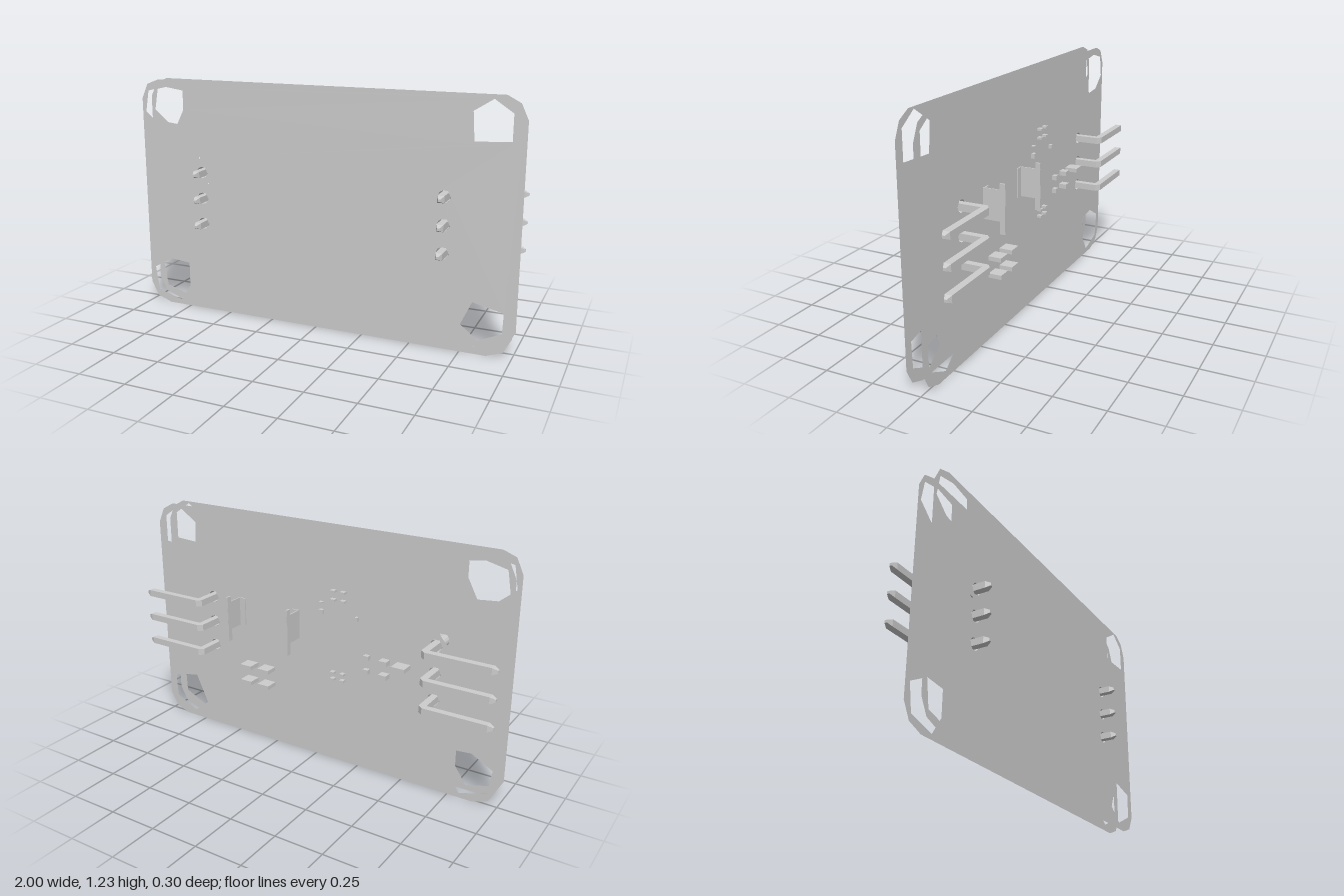
import * as THREE from 'three';

const grey = new THREE.MeshStandardMaterial({ color: 0xcccccc, flatShading: true, side: THREE.DoubleSide });
const FRONT = 0.067, BACK = -0.016;
const PIN_X = 0.65, PIN_YS = [0.757, 0.62, 0.483], PIN_W = 0.034;

const points = (list) => list.map(([x, y]) => new THREE.Vector2(x, y));

function add(parent, name, geometry, x = 0, y = 0, z = 0) {
  const mesh = new THREE.Mesh(geometry, grey);
  mesh.name = name;
  mesh.position.set(x, y, z);
  parent.add(mesh);
  return mesh;
}

// Board outline with chamfered corners, mounting holes and pin holes
function boardShape() {
  const shape = new THREE.Shape(points([
    [-0.88, 0.005], [0.88, 0.005], [0.96, 0.035], [1, 0.11],
    [1, 1.12], [0.965, 1.195], [0.9, 1.23],
    [-0.9, 1.23], [-0.965, 1.205], [-1, 1.13],
    [-1, 0.11], [-0.96, 0.035],
  ]));
  const holes = [
    [[-0.96, 1.17], [-0.86, 1.195], [-0.75, 1.18], [-0.75, 1.08], [-0.8, 0.985], [-0.9, 0.995], [-0.98, 1.06]],
    [[0.75, 1.15], [0.86, 1.22], [0.95, 1.16], [0.95, 1.02], [0.76, 1.01]],
    [[-0.97, 0.2], [-0.86, 0.26], [-0.75, 0.25], [-0.75, 0.12], [-0.81, 0.03], [-0.95, 0.07]],
    [[0.73, 0.11], [0.8, 0.265], [0.955, 0.23], [0.95, 0.1], [0.82, 0.04]],
    [[-0.72, 0.83], [-0.66, 0.84], [-0.67, 0.81], [-0.71, 0.765]],
    [[-0.70, 0.705], [-0.61, 0.705], [-0.61, 0.68], [-0.65, 0.67]],
  ];
  for (const s of [-1, 1]) {
    for (const y of PIN_YS) {
      holes.push(Array.from({ length: 6 }, (_, i) => {
        const a = (i * Math.PI) / 3;
        return [s * PIN_X + 0.034 * Math.cos(a), y + 0.034 * Math.sin(a)];
      }));
    }
  }
  for (const h of holes) shape.holes.push(new THREE.Path(points(h)));
  return shape;
}

// Right-angle header pin with tapered ends and its plated barrel
function headerPin(side, y) {
  const pin = new THREE.Group();
  pin.name = 'headerPin';
  const h = PIN_W / 2;
  const outline = [
    [PIN_X - h, 0.122], [PIN_X + h, 0.122], [PIN_X + h, -0.121],
    [0.975, -0.121], [0.975, -0.155], [PIN_X + h - 0.01, -0.155], [PIN_X - h, -0.135],
  ].map(([x, z]) => [x * side, z]);
  const body = new THREE.ExtrudeGeometry(new THREE.Shape(points(outline)), { depth: PIN_W, bevelEnabled: false });
  body.rotateX(Math.PI / 2);
  add(pin, 'pinBody', body, 0, h, 0);

  const taper = () => new THREE.CylinderGeometry(0.009, PIN_W * Math.SQRT1_2, 0.025, 4).rotateY(Math.PI / 4);
  add(pin, 'solderTip', taper().rotateX(Math.PI / 2), side * PIN_X, 0, 0.1345);
  add(pin, 'outerTip', taper().rotateZ(-side * Math.PI / 2), side * 0.9875, 0, -0.138);

  const barrel = new THREE.CylinderGeometry(0.03, 0.03, FRONT - BACK, 16, 1, true).rotateX(Math.PI / 2);
  add(pin, 'barrel', barrel, side * PIN_X, 0, (FRONT + BACK) / 2);
  pin.position.y = y;
  return pin;
}

export function createModel() {
  const model = new THREE.Group();
  model.name = 'circuitBoard';

  // Two open sheets form the board faces
  const shape = boardShape();
  add(model, 'frontSheet', new THREE.ShapeGeometry(shape), 0, 0, FRONT);
  add(model, 'backSheet', new THREE.ShapeGeometry(shape).rotateY(0), 0, 0, BACK);

  for (const side of [-1, 1]) {
    for (const y of PIN_YS) model.add(headerPin(side, y));
  }

  // Small plated through hole
  const via = new THREE.CylinderGeometry(0.007, 0.007, FRONT - BACK, 10, 1, true).rotateX(Math.PI / 2);
  add(model, 'via', via, -0.055, 0.566, (FRONT + BACK) / 2);

  // Long copper trace along the lower back
  const trace = new THREE.Shape(points([
    [0.69, 0.5], [0.69, 0.4], [0.61, 0.22], [-0.45, 0.18], [-0.57, 0.3],
    [-0.27, 0.31], [-0.25, 0.28], [-0.49, 0.27], [-0.43, 0.24], [0.58, 0.28], [0.65, 0.42], [0.65, 0.5],
  ]));
  add(model, 'copperTrace', new THREE.ShapeGeometry(trace), 0, 0, BACK - 0.002);

  // Upright connector side plates, each with a wider rim and a small foot
  for (const [x, inward] of [[0.465, -1], [0.098, 1]]) {
    const plate = new THREE.Group();
    plate.name = 'connectorPlate';
    add(plate, 'web', new THREE.BoxGeometry(0.005, 0.15, 0.113), 0, 0.715, -0.0785);
    add(plate, 'rim', new THREE.BoxGeometry(0.009, 0.24, 0.026), 0, 0.7, -0.121);
    add(plate, 'foot', new THREE.BoxGeometry(0.035, 0.15, 0.006), inward * 0.018, 0.715, -0.028);
    plate.position.x = x;
    model.add(plate);
  }

  // Surface parts on the back: x, y, width, height, depth
  const parts = [];
  for (const x of [0.285, 0.395]) {
    for (const y of [0.345, 0.432]) parts.push([x, y, 0.068, 0.021, 0.067]);
  }
  parts.push([-0.495, 0.625, 0.07, 0.021, 0.067]);
  for (const y of [0.625, 0.553]) {
    parts.push([-0.4, y, 0.042, 0.024, 0.04], [-0.3, y, 0.028, 0.024, 0.024]);
  }
  for (const x of [-0.11, -0.165]) {
    for (const y of [0.93, 0.885]) parts.push([x, y, 0.025, 0.011, 0.024]);
    for (const y of [0.503, 0.468]) parts.push([x, y, 0.022, 0.012, 0.024]);
  }
  parts.push([-0.04, 0.86, 0.02, 0.006, 0.018], [-0.04, 0.81, 0.022, 0.025, 0.018], [-0.24, 0.81, 0.014, 0.02, 0.018]);
  for (const [x, y, w, h, d] of parts) {
    add(model, 'surfacePart', new THREE.BoxGeometry(w, h, d), x, y, -0.023 - d / 2);
  }
  return model;
}
